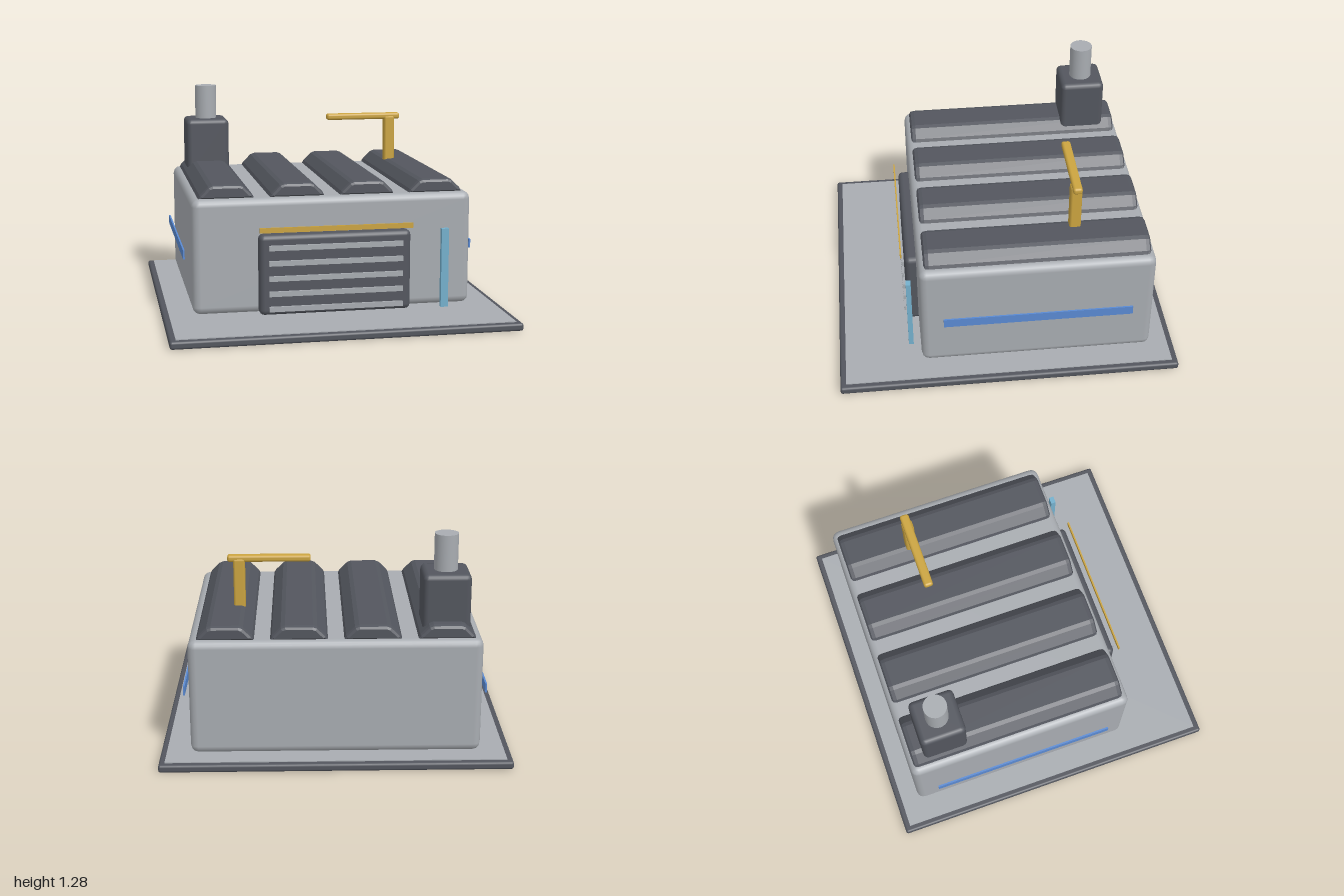
import * as THREE from 'three';
import { RoundedBoxGeometry } from 'three/addons/geometries/RoundedBoxGeometry.js';

const paint = (name, color) => {
  const m = new THREE.MeshStandardMaterial({ color });
  m.name = name;
  return m;
};

export function createModel() {
  const group = new THREE.Group();
  const lightGrey = paint('light grey', 0xa8acb1);
  const darkGrey = paint('dark grey', 0x53565e);
  const gold = paint('gold', 0xcba440);
  const blue = paint('blue', 0x5a8ad2);
  const paleBlue = paint('pale blue', 0x74b0cd);

  const add = (name, geometry, material) => {
    const mesh = new THREE.Mesh(geometry, material);
    mesh.name = name;
    group.add(mesh);
    return mesh;
  };
  // Box given by its extents on each axis; r rounds the edges
  const block = (name, material, [x0, x1], [y0, y1], [z0, z1], r = 0, segments = 2) => {
    const size = [x1 - x0, y1 - y0, z1 - z0];
    const geometry = r ? new RoundedBoxGeometry(...size, segments, r) : new THREE.BoxGeometry(...size);
    add(name, geometry, material).position.set((x0 + x1) / 2, (y0 + y1) / 2, (z0 + z1) / 2);
  };

  // Ground slab and its paved top
  block('baseSlab', darkGrey, [-1, 1], [0, 0.045], [-1, 1], 0.014);
  block('paving', lightGrey, [-0.965, 0.965], [0.042, 0.05], [-0.965, 0.965]);

  // Main hall
  block('hall', lightGrey, [-0.827, 0.827], [0.048, 0.725], [-0.857, 0.512], 0.045);

  // Roof ridges: trapezoid section with bevelled ends
  const section = new THREE.Shape([
    [-0.163, 0.722], [0.163, 0.722], [0.152, 0.744], [0.102, 0.793],
    [0.078, 0.802], [-0.078, 0.802], [-0.102, 0.793], [-0.152, 0.744],
  ].map(([x, y]) => new THREE.Vector2(x, y)));
  const ridgeGeometry = new THREE.ExtrudeGeometry(section, {
    depth: 1.25, bevelThickness: 0.03, bevelSize: 0.018, bevelOffset: -0.018, bevelSegments: 2,
  });
  for (const x of [-0.624, -0.209, 0.205, 0.618]) {
    add('roofRidge', ridgeGeometry, darkGrey).position.set(x, 0, -0.8);
  }

  // Chimney
  block('chimneyBase', darkGrey, [-0.76, -0.49], [0.72, 1.07], [-0.757, -0.487], 0.03);
  add('chimneyPipe', new THREE.CylinderGeometry(0.068, 0.068, 0.23, 24), lightGrey)
    .position.set(-0.625, 1.165, -0.622);

  // Roof crane
  block('cranePost', gold, [0.515, 0.582], [0.74, 1.08], [-0.447, -0.38], 0.012, 1);
  block('craneArm', gold, [0.135, 0.617], [1.06, 1.1], [-0.442, -0.387], 0.015);

  // Loading door with slats and lintel
  block('door', darkGrey, [-0.448, 0.448], [0.046, 0.52], [0.48, 0.578], 0.03);
  for (let i = 0; i < 5; i++) {
    const y = 0.087 + i * 0.09;
    block('doorSlat', lightGrey, [-0.395, 0.395], [y - 0.015, y + 0.015], [0.583, 0.597]);
  }
  block('doorLintel', gold, [-0.45, 0.45], [0.54, 0.57], [0.597, 0.606]);

  // Light strip beside the door, stripes along both side walls
  block('lightStrip', paleBlue, [0.63, 0.674], [0.05, 0.522], [0.555, 0.584]);
  for (const s of [-1, 1]) {
    block('sideStripe', blue, [s * 0.865 - 0.0048, s * 0.865 + 0.0048], [0.355, 0.41], [-0.725, 0.38]);
  }
  return group;
}
